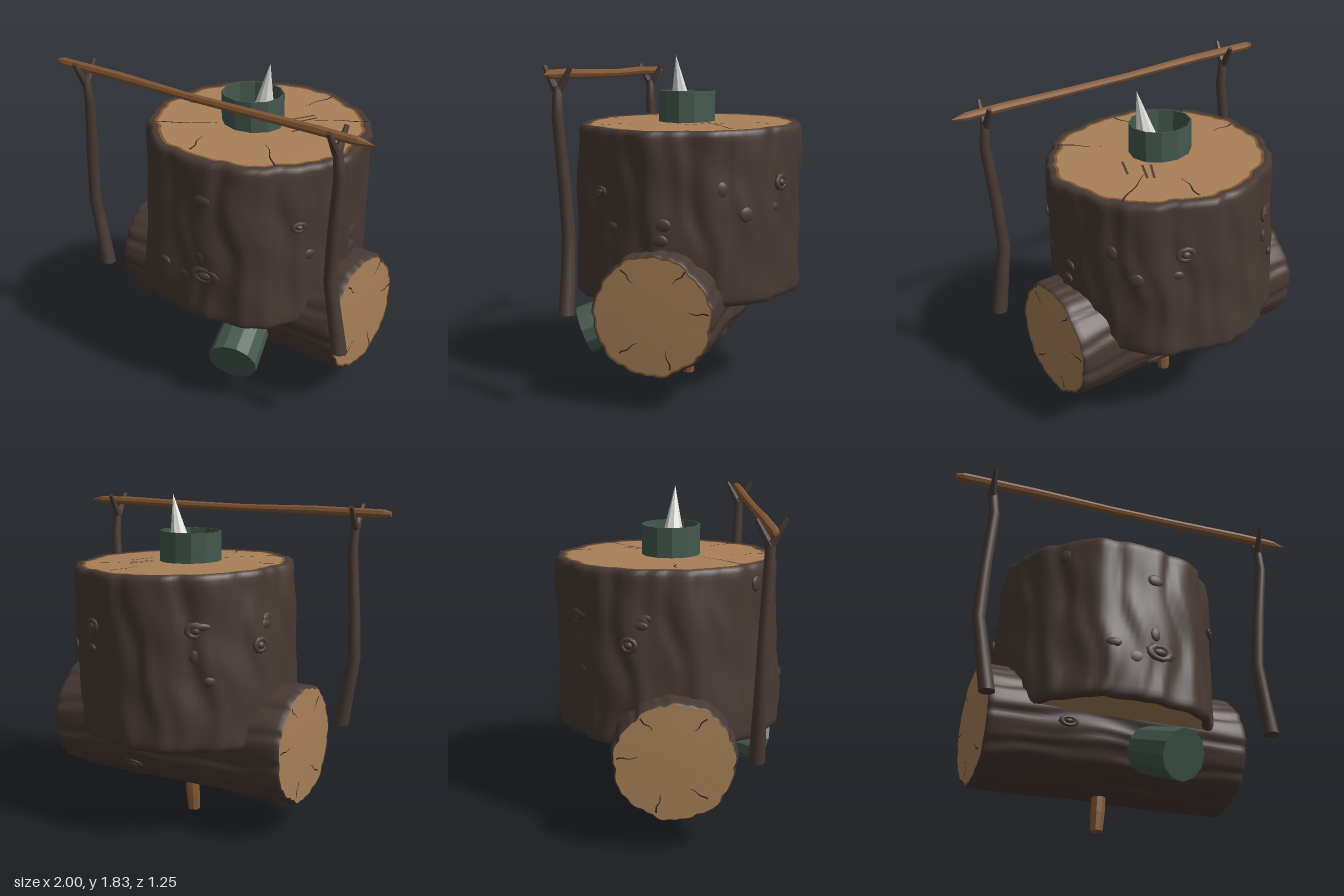
import * as THREE from 'three';

const paint = (name, color) => {
  const m = new THREE.MeshStandardMaterial({ color, side: THREE.DoubleSide });
  m.name = name;
  return m;
};
const bark = paint('bark', 0x483a34);
const wood = paint('cut wood', 0xa88058);
const rimWood = paint('inner bark', 0x7e5531);
const stickWood = paint('peeled stick', 0x835734);
const crackDark = paint('crack', 0x33261e);
const scratchBrown = paint('scratch', 0x4f3e2e);
const teal = paint('teal', 0x44594e);
const white = paint('pale spike', 0xe0e0de);

function add(parent, name, geometry, material) {
  const mesh = new THREE.Mesh(geometry, material);
  mesh.name = name;
  parent.add(mesh);
  return mesh;
}

// Gives every face its own normal
function flat(geometry) {
  const g = geometry.index ? geometry.toNonIndexed() : geometry;
  g.computeVertexNormals();
  return g;
}

// Closed rings joined into a skin; point(row, angle) returns [x, y, z]
function skin(rows, sides, point) {
  const pos = [], idx = [];
  rows.forEach((row, i) => {
    for (let j = 0; j < sides; j++) {
      pos.push(...point(row, (j / sides) * Math.PI * 2));
      if (i === rows.length - 1) continue;
      const a = i * sides + j, b = i * sides + (j + 1) % sides;
      idx.push(a, a + sides, b, b, a + sides, b + sides);
    }
  });
  const g = new THREE.BufferGeometry();
  g.setAttribute('position', new THREE.Float32BufferAttribute(pos, 3));
  g.setIndex(idx);
  g.computeVertexNormals();
  return g;
}

// Limb through rows of [x, y, z, radius]
const limb = (rows, sides) => skin(rows, sides, ([x, y, z, r], t) =>
  [x + r * Math.cos(t), y, z + r * Math.sin(t)]);

// Cylinder between two points
function rod(parent, name, a, b, ra, rb, sides, material) {
  const A = new THREE.Vector3(...a), B = new THREE.Vector3(...b), d = B.clone().sub(A);
  const mesh = add(parent, name, flat(new THREE.CylinderGeometry(rb, ra, d.length(), sides)), material);
  mesh.position.copy(A).add(B).multiplyScalar(0.5);
  mesh.quaternion.setFromUnitVectors(new THREE.Vector3(0, 1, 0), d.normalize());
}

function seeded(seed) {
  return () => (seed = (seed * 16807) % 2147483647) / 2147483647;
}

// Barked log standing on its local y axis, with cut faces at both ends
function makeLog(name, R, h, phase, cut, warp) {
  const group = new THREE.Group();
  group.name = name;
  const radius = (t, y) => {
    const w = t + 0.06 * Math.sin(5 * y + phase) + 0.03 * Math.sin(11 * y + 3 * t);
    return R * (1 + 0.013 * Math.sin(7 * w + phase) + 0.012 * Math.sin(13 * w + 2 * phase) + 0.009 * Math.sin(24 * w)
      + 0.008 * Math.sin(8 * y + 3 * t) + 0.005 * Math.sin(17 * y - 8 * t) + 0.004 * Math.sin(37 * w - 5 * y));
  };
  const point = ([s, y], t) => {
    const r = s * radius(t, y);
    return warp(r * Math.cos(t), y, r * Math.sin(t));
  };
  const sides = 144, rim = cut + 0.025;
  const rows = [[rim, 0.004], [0.965, 0], [0.99, 0.012], [1, 0.035]];
  for (let i = 1; i < 30; i++) rows.push([1, 0.035 + (h - 0.07) * i / 30]);
  rows.push([1, h - 0.035], [0.99, h - 0.012], [0.965, h], [rim, h - 0.004]);
  add(group, 'bark', skin(rows, sides, point), bark);
  add(group, 'topInnerBark', skin([[rim + 0.01, h - 0.004], [cut - 0.005, h - 0.004]], sides, point), rimWood);
  add(group, 'topCut', skin([[cut, h - 0.004], [0.5, h], [0, h]], sides, point), wood);
  add(group, 'bottomCut', skin([[0, 0], [0.5, 0], [rim + 0.01, 0.004]], sides, point), wood);

  // Thin mark on a cut face from (x, z) to (x, z); wobbling marks taper
  const mark = (x1, z1, x2, z2, y, width, wobble, material) => {
    const dx = x2 - x1, dz = z2 - z1, len = Math.hypot(dx, dz), nx = -dz / len, nz = dx / len;
    const left = [], right = [], n = 8;
    for (let i = 0; i <= n; i++) {
      const u = i / n, bend = wobble * Math.sin(u * 9 + x1 * 20), w = width * (1 - (wobble ? 0.75 : 0) * u) / 2;
      const x = x1 + dx * u + nx * bend, z = z1 + dz * u + nz * bend;
      left.push(new THREE.Vector2(x + nx * w, -z - nz * w));
      right.unshift(new THREE.Vector2(x - nx * w, -z + nz * w));
    }
    const g = new THREE.ShapeGeometry(new THREE.Shape([...left, ...right])).rotateX(-Math.PI / 2);
    const p = g.attributes.position;
    for (let i = 0; i < p.count; i++) p.setXYZ(i, ...warp(p.getX(i), y, p.getZ(i)));
    add(group, 'woodMark', g, material);
  };

  // Raised knot on the bark: a ring round a low dome, or the dome alone
  const knot = (t, y, w, tall, ring) => {
    const k = new THREE.Group();
    k.name = ring ? 'knot' : 'barkBump';
    const r = radius(t, y) - (ring ? 0 : 0.006);
    k.position.set(...warp(r * Math.cos(t), y, r * Math.sin(t)));
    k.rotation.y = Math.PI / 2 - t;
    k.scale.set(w, tall, ring ? 0.04 : 0.014);
    if (ring) add(k, 'knotRing', new THREE.TorusGeometry(0.72, 0.32, 10, 9), bark);
    add(k, 'knotDome', new THREE.SphereGeometry(ring ? 0.5 : 1, 14, 8), bark);
    group.add(k);
  };
  return { group, mark, knot };
}

export function createModel() {
  const model = new THREE.Group();
  model.name = 'campStump';

  // Upright stump, leaning slightly, with a lobe at the front of its foot and a sloping top
  const H = 0.935;
  const stump = makeLog('stump', 0.608, H, 0.6, 0.9, (x, y, z) => {
    const u = y / H, lobe = Math.exp(-(((Math.atan2(z, x) - 0.8) / 0.4) ** 2)) * Math.min(1, Math.hypot(x, z) / 0.5);
    const s = 1 + (1 - u) * (0.005 + 0.055 * lobe);
    return [x * s - 0.012 + 0.04 * u, y - x * (0.01 + 0.018 * u), z * s + 0.014 * (1 - u)];
  });
  stump.group.position.set(0, 0.527, 0);
  model.add(stump.group);
  [[0.13, -0.53, 0.08, -0.32], [0.47, -0.35, 0.2, -0.17], [-0.44, 0.38, -0.15, 0.17], [-0.06, 0.53, -0.12, 0.36],
    [0.38, 0.42, 0.21, 0.24], [-0.54, 0.03, -0.4, 0.03]].forEach(c => stump.mark(...c, H + 0.004, 0.011, 0.006, crackDark));
  [[0.195, -0.24, 0.12, -0.1], [0.225, -0.22, 0.16, -0.08], [0.28, -0.12, 0.22, 0.02], [-0.07, -0.12, -0.13, 0.02],
    [-0.13, -0.06, -0.18, 0.04]].forEach(c => stump.mark(...c, H + 0.004, 0.013, 0, scratchBrown));
  [[1.4, 0.28, 0.085, 0.05], [-1.17, 0.64, 0.055, 0.045], [0.6, 0.6, 0.045, 0.03], [3.5, 0.55, 0.05, 0.045],
    [-2.2, 0.65, 0.06, 0.045]].forEach(k => stump.knot(...k, true));
  const rand = seeded(71);
  for (let i = 0; i < 18; i++) stump.knot(rand() * 6.28, 0.12 + rand() * 0.72, 0.025 + rand() * 0.035, 0.02 + rand() * 0.025, false);

  // Log lying across underneath
  const L = 1.46;
  const log = makeLog('crossLog', 0.325, L, 2.1, 0.935, (x, y, z) => [x, y, z]);
  log.group.rotation.z = -Math.PI / 2;
  log.group.position.set(-L / 2, 0.507, 0.02);
  model.add(log.group);
  for (const y of [L + 0.003, -0.003]) {
    [[-0.03, -0.3, -0.03, -0.19], [-0.24, 0.16, -0.17, 0.1], [-0.24, -0.18, -0.18, -0.11], [0.2, 0.17, 0.14, 0.08],
      [0.27, -0.1, 0.17, -0.07]].forEach(c => log.mark(...c, y, 0.009, 0.004, crackDark));
  }
  [[1.45, 0.43, 0.03, 0.055], [-0.9, 0.95, 0.04, 0.06], [-2.1, 0.35, 0.04, 0.06]].forEach(k => log.knot(...k, true));

  // Open cup on top, slightly oval
  const outer = 0.175, inner = 0.167;
  const cupProfile = [[inner, 1.44], [outer, 1.44], [outer, 1.63], [inner, 1.63], [inner, 1.44]];
  const cup = new THREE.LatheGeometry(cupProfile.map(p => new THREE.Vector2(...p)), 12).scale(1, 1, 0.92);
  add(model, 'cup', flat(cup), teal).position.set(-0.003, 0, 0.024);

  // Fluted spike leaning in the cup
  const spike = skin([[0, 1.45], [1, 1.45], [0.48, 1.64], [0, 1.825]], 16, ([s, y], t) => {
    const r = 0.08 * s * (1 + 0.05 * Math.cos(8 * t)), u = (y - 1.45) / 0.375;
    return [0.052 + 0.078 * u + r * Math.cos(t), y, 0.032 + 0.02 * u + r * Math.sin(t)];
  });
  add(model, 'spike', flat(spike), white);

  // Spout low on the front
  rod(model, 'spout', [0.135, 0.425, 0.2], [0.243, 0.281, 0.56], 0.128, 0.137, 12, teal);

  // Peg below the log
  add(model, 'peg', flat(limb([[-0.027, 0, 0.024, 0], [-0.027, 0, 0.024, 0.034], [-0.02, 0.1, 0.024, 0.04],
    [-0.012, 0.24, 0.024, 0.04]], 9)), stickWood);

  // Forked posts
  for (const x of [-0.8, 0.8]) {
    const post = new THREE.Group();
    post.name = x < 0 ? 'rightPost' : 'leftPost';
    post.position.x = x;
    add(post, 'postStem', limb([[0.036, 0.522, 0.435, 0.043], [0.004, 0.72, 0.437, 0.038],
      [-0.027, 0.92, 0.442, 0.035], [-0.01, 1.2, 0.455, 0.033], [0.02, 1.53, 0.472, 0.029],
      [0.006, 1.67, 0.475, 0.024], [0.006, 1.67, 0.475, 0]], 12), bark);
    add(post, 'postFoot', limb([[0.036, 0.522, 0.435, 0], [0.036, 0.522, 0.435, 0.043]], 12), bark);
    rod(post, 'frontProng', [0.004, 1.645, 0.48], [-0.004, 1.77, 0.547], 0.023, 0.012, 8, bark);
    rod(post, 'backProng', [0.004, 1.645, 0.47], [0.008, 1.767, 0.403], 0.023, 0.012, 8, bark);
    model.add(post);
  }

  // Sharpened stick resting in the forks
  const stick = add(model, 'crossStick', flat(limb([[0, -1, 0, 0], [0, -0.998, 0, 0.014], [0, -0.96, 0, 0.025],
    [-0.002, -0.55, 0, 0.025], [0.006, -0.1, 0.002, 0.022], [0.004, 0.3, 0, 0.023], [-0.001, 0.7, 0, 0.025],
    [0, 0.91, 0, 0.023], [0, 1, 0, 0]], 8)), stickWood);
  stick.rotation.z = -Math.PI / 2;
  stick.position.set(0, 1.73, 0.468);

  return model;
}
